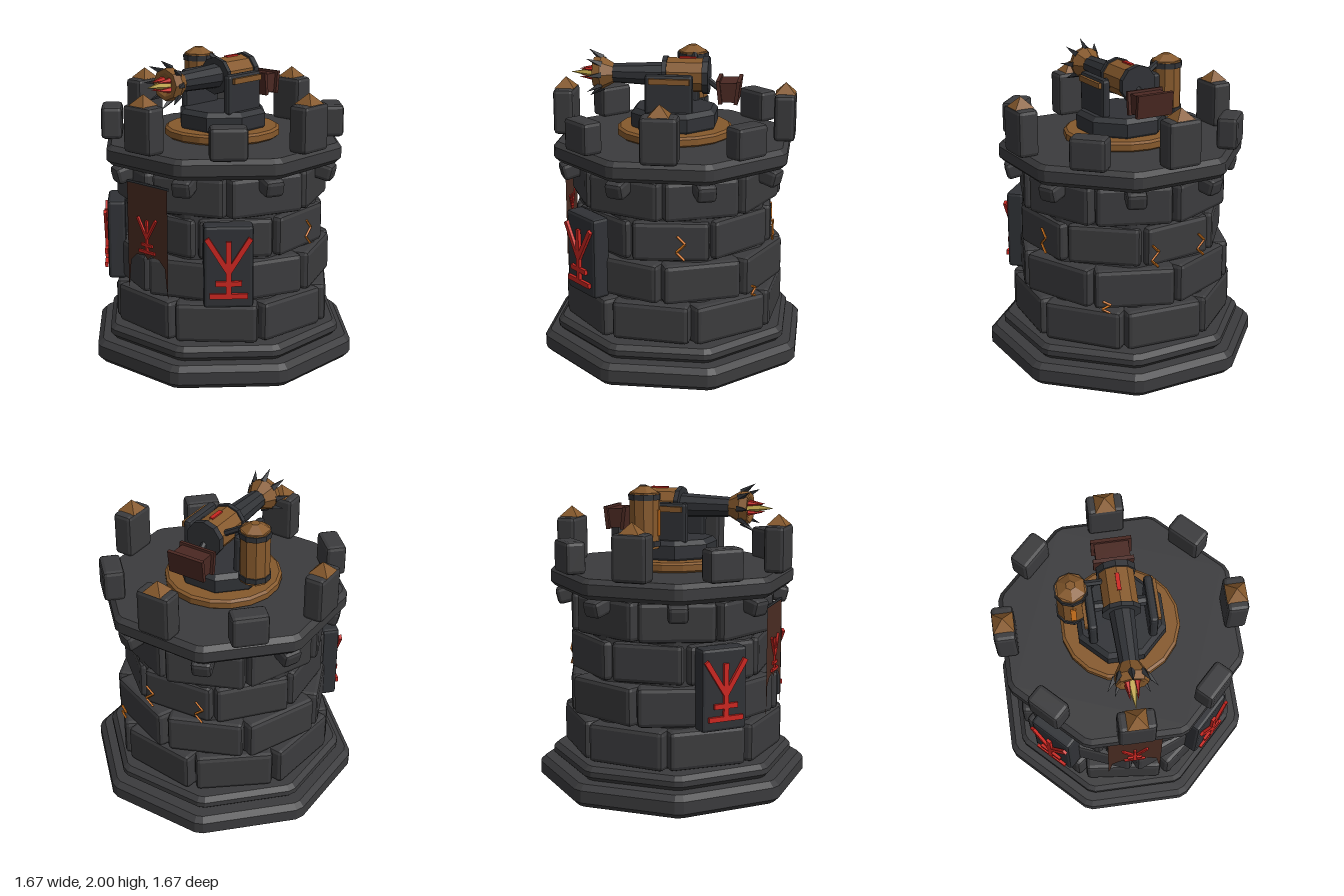
import * as THREE from 'three';
import { RoundedBoxGeometry } from 'three/addons/geometries/RoundedBoxGeometry.js';

const mat = (name, color, side = THREE.FrontSide) => {
  const m = new THREE.MeshStandardMaterial({ color, side });
  m.name = name;
  return m;
};

// flat facets: unshared corners with face normals
const flat = (g) => {
  const f = g.index ? g.toNonIndexed() : g;
  f.computeVertexNormals();
  return f;
};

const V = (x, y, z) => new THREE.Vector3(x, y, z);

export function createModel() {
  const stone = mat('stone', 0x3b3b3d);
  const iron = mat('iron', 0x303236);
  const brass = mat('brass', 0x86592c);
  const red = mat('red', 0xcc2620);
  const orange = mat('orange glow', 0xd8781e);
  const yellow = mat('flame yellow', 0xbfa548);
  const cloth = mat('banner cloth', 0x4a2c22, THREE.DoubleSide);
  const wood = mat('wood', 0x4a2822);

  const root = new THREE.Group();
  root.name = 'cannonTower';

  const add = (parent, name, geo, material, x = 0, y = 0, z = 0) => {
    const m = new THREE.Mesh(flat(geo), material);
    m.name = name;
    m.position.set(x, y, z);
    parent.add(m);
    return m;
  };
  const group = (parent, name, angle = 0) => {
    const g = new THREE.Group();
    g.name = name;
    g.rotation.y = angle;
    parent.add(g);
    return g;
  };
  const block = (w, h, d, r = 0.025) => new RoundedBoxGeometry(w, h, d, 1, r);
  // tapered bar from a to b
  const rod = (parent, name, a, b, r0, r1, sides, material) => {
    const m = add(parent, name, new THREE.CylinderGeometry(r1, r0, a.distanceTo(b), sides), material);
    m.position.copy(a).lerp(b, 0.5);
    m.quaternion.setFromUnitVectors(V(0, 1, 0), b.clone().sub(a).normalize());
    return m;
  };
  // octagonal slab with bevelled rims and clipped corners
  const slab = (name, apothem, y0, y1, bevel) => {
    const pts = [];
    for (let i = 0; i < 8; i++) {
      for (const s of [-1, 1]) {
        const a = i * Math.PI / 4 + s * 0.36;
        const r = apothem / Math.cos(0.36);
        pts.push(new THREE.Vector2(r * Math.cos(a), r * Math.sin(a)));
      }
    }
    const g = new THREE.ExtrudeGeometry(new THREE.Shape(pts), {
      depth: y1 - y0 - 2 * bevel, bevelEnabled: true, bevelSegments: 1,
      bevelThickness: bevel, bevelSize: bevel, bevelOffset: -bevel,
    });
    return add(root, name, g.rotateX(-Math.PI / 2), stone, 0, y0 + bevel, 0);
  };
  const rad = THREE.MathUtils.degToRad;

  // plinth, core and deck
  slab('plinth', 0.835, 0, 0.15, 0.035);
  slab('plinthStep', 0.75, 0.15, 0.245, 0.03);
  slab('wallCore', 0.6, 0.2, 1.36, 0.01);
  slab('deck', 0.75, 1.32, 1.45, 0.03);

  // staggered courses: face distance, bottom, first angle
  const courses = [[0.69, 0.25, -6], [0.675, 0.52, 22.5], [0.635, 0.785, 5], [0.655, 1.055, 22.5]];
  courses.forEach(([r, y, a0], c) => {
    for (let i = 0; i < 8; i++) {
      const g = group(root, `course${c + 1}Stone${i + 1}`, rad(a0 + i * 45));
      const jitter = 0.012 * Math.sin(i * 2.3 + c * 1.7);
      add(g, 'wallStone', block(2 * r * 0.365 + 0.01 + jitter, 0.257, 0.2, 0.028), stone, 0, y + 0.13, r - 0.1 + jitter / 2);
    }
  });

  // glowing zigzag cracks: course, stone angle, offset along the stone, centre height, size
  const cracks = [[0.64, 95, 0.065, 0.88, 0.16], [0.64, 185, -0.19, 0.86, 0.15], [0.64, 185, 0.17, 0.86, 0.15], [0.678, 157.5, -0.18, 0.54, 0.08]];
  for (const [r, a, u, y, h] of cracks) {
    const g = group(root, 'crack', rad(a));
    const xs = [0.025, -0.025, 0.03, -0.02];
    const p = xs.map((x, i) => V(u - x, y + h * (0.5 - i / 3), r + 0.008));
    for (let i = 0; i < 3; i++) rod(g, 'crackSegment', p[i], p[i + 1], 0.008, 0.008, 4, orange);
  }

  // corbels under the deck
  for (let i = 0; i < 8; i++) {
    const g = group(root, 'corbel', rad(22.5 + i * 45));
    const m = add(g, 'corbelBlock', block(0.13, 0.11, 0.15, 0.025), stone, 0, 1.265, 0.69);
    m.rotation.x = 0.25;
  }

  // battlements: tall capped ones on the axes, low ones between
  for (let i = 0; i < 8; i++) {
    const tall = i % 2 === 0;
    const h = tall ? 0.3 : 0.21;
    const g = group(root, tall ? 'tallMerlon' : 'lowMerlon', i * Math.PI / 4);
    add(g, 'merlonBlock', block(0.235, h, 0.137, 0.025), stone, 0, 1.445 + h / 2, 0.72);
    if (tall) {
      const cap = new THREE.ConeGeometry(0.092, 0.07, 4).rotateY(Math.PI / 4);
      add(g, 'merlonCap', cap, brass, 0, 1.778, 0.72);
    }
  }

  // raised bar emblem, in units of its half width
  const emblem = (parent, y, z, w, h, t) => {
    const g = group(parent, 'emblem');
    g.position.set(0, y, z);
    const bar = (x0, y0, x1, y1) => {
      const m = add(g, 'emblemBar', new THREE.BoxGeometry(t, Math.hypot(x1 - x0, y1 - y0), 0.02), red, (x0 + x1) / 2, (y0 + y1) / 2, 0);
      m.rotation.z = -Math.atan2(x1 - x0, y1 - y0);
    };
    bar(0, 0, 0, h * 0.95);
    for (const s of [-1, 1]) bar(0, h * 0.43, s * w, h);
    bar(-w * 0.6, h * 0.24, w * 0.6, h * 0.24);
    bar(-w * 0.88, 0.01, w * 0.88, 0.01);
  };
  for (const s of [-1, 1]) {
    const g = group(root, s > 0 ? 'leftPlaque' : 'rightPlaque', s * Math.PI / 4);
    add(g, 'plaqueBlock', block(0.31, 0.53, 0.12, 0.02), iron, 0, 0.775, 0.7);
    emblem(g, 0.585, 0.775, 0.135, 0.38, 0.032);
  }

  // hanging banner with forked lower edge
  const banner = group(root, 'banner');
  const half = [[0.177, 1.24], [0.177, 0.53], [0.163, 0.6], [0.15, 0.72], [0.1, 0.765], [0.03, 0.775], [0, 0.75]];
  const outline = [...half, ...half.slice(0, 6).reverse().map(([x, y]) => [-x, y])];
  const cut = new THREE.Shape(outline.map(([x, y]) => new THREE.Vector2(x, y)));
  add(banner, 'bannerCloth', new THREE.ShapeGeometry(cut), cloth, 0, 0, 0.702);
  rod(banner, 'bannerRod', V(-0.18, 1.235, 0.695), V(0.18, 1.235, 0.695), 0.01, 0.01, 6, iron);
  emblem(banner, 0.79, 0.706, 0.08, 0.23, 0.018);

  // turntable
  add(root, 'turntableRing', new THREE.LatheGeometry(
    [[0, 1.45], [0.36, 1.45], [0.378, 1.463], [0.378, 1.502], [0.36, 1.515], [0, 1.515]].map(([x, y]) => new THREE.Vector2(x, y)), 18), brass);
  const pedestal = new THREE.LatheGeometry(
    [[0, 1.51], [0.28, 1.51], [0.295, 1.53], [0.295, 1.61], [0.265, 1.64], [0, 1.64]].map(([x, y]) => new THREE.Vector2(x, y)), 8);
  add(root, 'pedestal', pedestal.rotateY(Math.PI / 8), iron);

  // carriage cheeks with brass strips and axle
  for (const s of [-1, 1]) {
    add(root, 'carriageCheek', block(0.055, 0.26, 0.31, 0.02), iron, s * 0.185, 1.75, 0.015);
    add(root, 'cheekStrip', new THREE.BoxGeometry(0.022, 0.035, 0.26), brass, s * 0.222, 1.84, 0.01);
  }
  rod(root, 'axle', V(-0.2, 1.82, 0), V(0.2, 1.82, 0), 0.035, 0.035, 8, iron);

  // cannon along +z
  const cannon = group(root, 'cannon');
  const Y = 1.845;
  const tube = (name, z0, z1, r0, r1, m, n = 10) => rod(cannon, name, V(0, Y, z0), V(0, Y, z1), r0, r1, n, m);
  tube('breech', -0.2, 0.06, 0.112, 0.112, brass);
  tube('breechBandRear', -0.225, -0.185, 0.125, 0.125, iron);
  tube('breechBandFront', 0.045, 0.075, 0.122, 0.122, iron);
  tube('barrel', 0.07, 0.43, 0.08, 0.062, iron);
  add(cannon, 'breechSlot', new THREE.BoxGeometry(0.026, 0.012, 0.11), red, 0, Y + 0.112, -0.085);
  const muzzle = new THREE.LatheGeometry(
    [[0, 0.4], [0.066, 0.4], [0.112, 0.48], [0.1, 0.53], [0.075, 0.53], [0, 0.49]].map(([x, y]) => new THREE.Vector2(x, y)), 8);
  add(cannon, 'muzzle', muzzle.rotateX(Math.PI / 2), brass, 0, Y, 0);
  for (let i = 0; i < 8; i++) {
    const a = i * Math.PI / 4;
    const at = (r, z) => V(r * Math.sin(a), Y + r * Math.cos(a), z);
    rod(cannon, 'muzzleSpike', at(0.095, 0.475), at(0.153, 0.56), 0.024, 0.001, 4, iron);
  }
  for (let i = 0; i < 4; i++) {
    const a = Math.PI / 4 + i * Math.PI / 2;
    const at = (r, z) => V(r * Math.sin(a), Y + r * Math.cos(a), z);
    rod(cannon, 'redFlame', at(0.045, 0.49), at(0.035, 0.62), 0.024, 0.001, 5, red);
  }
  rod(cannon, 'yellowFlame', V(0, Y, 0.49), V(0, Y, 0.68), 0.042, 0.001, 5, yellow);

  // counterweight crate behind the breech
  rod(cannon, 'tailRod', V(0, 1.83, -0.2), V(0, 1.75, -0.3), 0.02, 0.02, 6, iron);
  add(cannon, 'crate', new THREE.BoxGeometry(0.215, 0.125, 0.11), wood, 0, 1.755, -0.357);
  for (const s of [-1, 1]) {
    const m = add(cannon, 'crateBoard', new THREE.BoxGeometry(0.255, 0.15, 0.024), wood, 0, 1.757, -0.357 + s * 0.058);
    m.rotation.x = s * 0.12;
  }

  // boiler beside the breech
  const boiler = group(root, 'boiler');
  boiler.position.set(-0.287, 0, -0.085);
  const drum = (name, y0, y1, r0, r1, m, n = 10) => rod(boiler, name, V(0, y0, 0), V(0, y1, 0), r0, r1, n, m);
  drum('boilerBody', 1.595, 1.95, 0.098, 0.098, brass);
  drum('lowerBand', 1.61, 1.645, 0.106, 0.106, iron);
  drum('upperBand', 1.905, 1.94, 0.106, 0.106, iron);
  drum('boilerCap', 1.95, 1.99, 0.095, 0.03, brass, 6);
  add(boiler, 'boilerWindow', new THREE.BoxGeometry(0.034, 0.165, 0.012), orange, 0, 1.76, 0.097);
  rod(boiler, 'steamPipe', V(0.08, 1.94, -0.02), V(0.21, 1.87, -0.05), 0.02, 0.02, 6, iron);
  rod(boiler, 'boilerBracket', V(0.06, 1.68, 0.02), V(0.12, 1.68, 0.04), 0.025, 0.025, 6, iron);

  return root;
}
